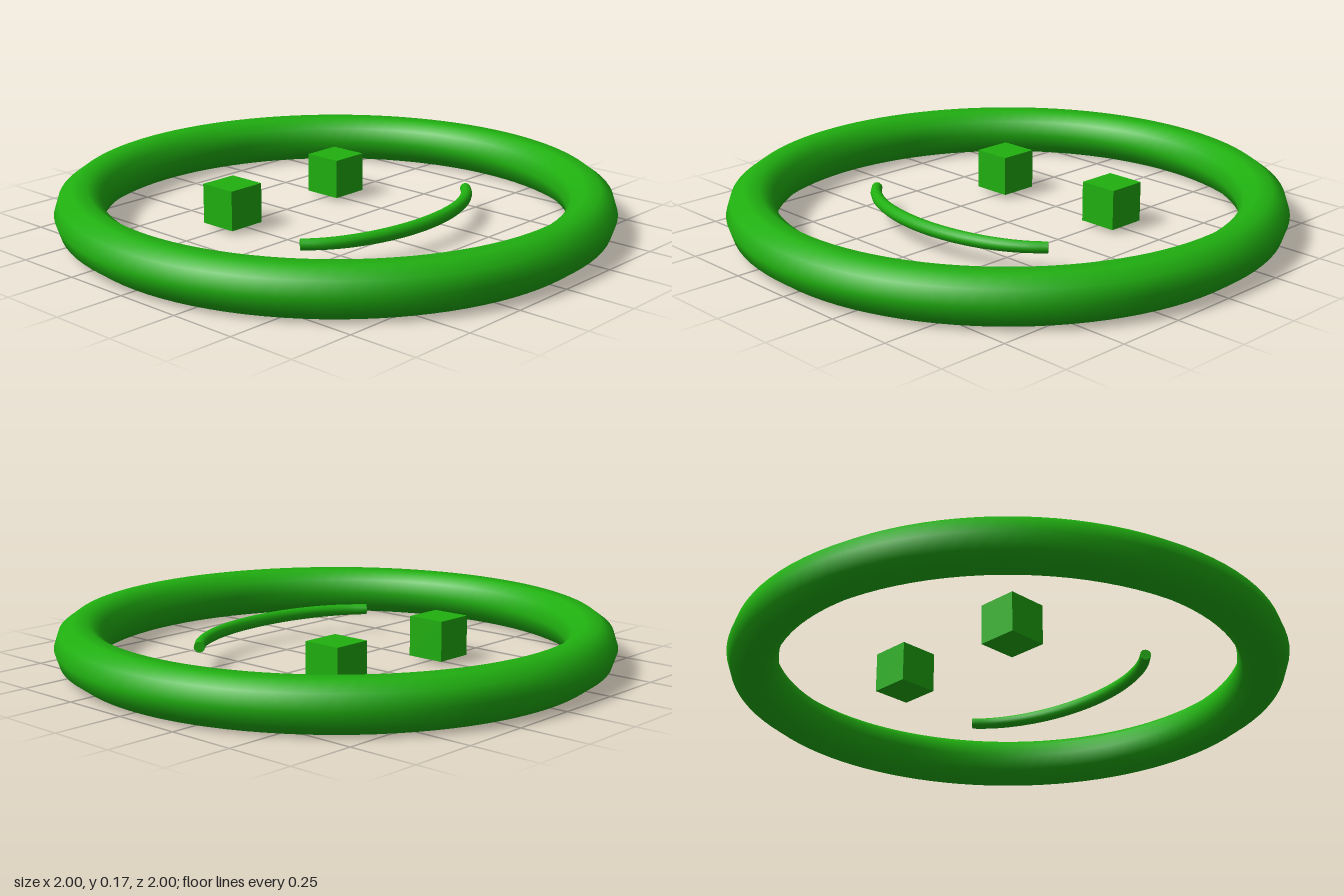
import * as THREE from 'three';

const RING_R = 0.909, RING_TUBE = 0.091;
const MID_Y = RING_TUBE * Math.sin(Math.PI * 0.4); // ten-sided tube rests on a flat

export function createModel() {
  const group = new THREE.Group();
  const green = new THREE.MeshStandardMaterial({ color: 0x20b010 });
  const add = (name, geometry, x = 0, z = 0, parent = group) => {
    const mesh = new THREE.Mesh(geometry, green);
    mesh.name = name;
    mesh.position.set(x, MID_Y, z);
    parent.add(mesh);
    return mesh;
  };

  // Outer ring lying flat
  add('faceRing', new THREE.TorusGeometry(RING_R, RING_TUBE, 10, 100).rotateX(Math.PI / 2));

  // Two cube eyes
  for (const side of [-1, 1]) {
    add(side < 0 ? 'backEye' : 'frontEye', new THREE.BoxGeometry(0.146, 0.146, 0.146), -0.253, side * 0.272);
  }

  // Curved mouth: arc of an ellipse, slightly slimmer toward its ends
  const points = [];
  for (let i = 0; i <= 12; i++) {
    const t = (i / 6 - 1) * Math.PI / 3;
    points.push(new THREE.Vector3(0.085 + 0.32 * Math.cos(t), 0, 0.508 * Math.sin(t)));
  }
  const curve = new THREE.CatmullRomCurve3(points);
  const steps = 40, sides = 12, radius = 0.024;
  const taper = (u) => 1 - 0.18 * (2 * u - 1) ** 2;
  const tube = new THREE.TubeGeometry(curve, steps, radius, sides);
  const pos = tube.attributes.position, v = new THREE.Vector3();
  for (let i = 0; i < pos.count; i++) {
    const u = Math.floor(i / (sides + 1)) / steps;
    const centre = curve.getPointAt(u);
    v.fromBufferAttribute(pos, i).sub(centre).multiplyScalar(taper(u)).add(centre);
    pos.setXYZ(i, v.x, v.y, v.z);
  }
  const mouth = new THREE.Group();
  mouth.name = 'mouth';
  group.add(mouth);
  add('mouthCurve', tube, 0, 0, mouth);

  // Flat caps closing the mouth ends
  for (const u of [0, 1]) {
    const p = curve.getPointAt(u);
    const outward = curve.getTangentAt(u).multiplyScalar(u ? 1 : -1);
    const cap = add('mouthEnd', new THREE.CircleGeometry(radius * taper(u), sides), p.x, p.z, mouth);
    cap.quaternion.setFromUnitVectors(new THREE.Vector3(0, 0, 1), outward);
  }

  return group;
}
